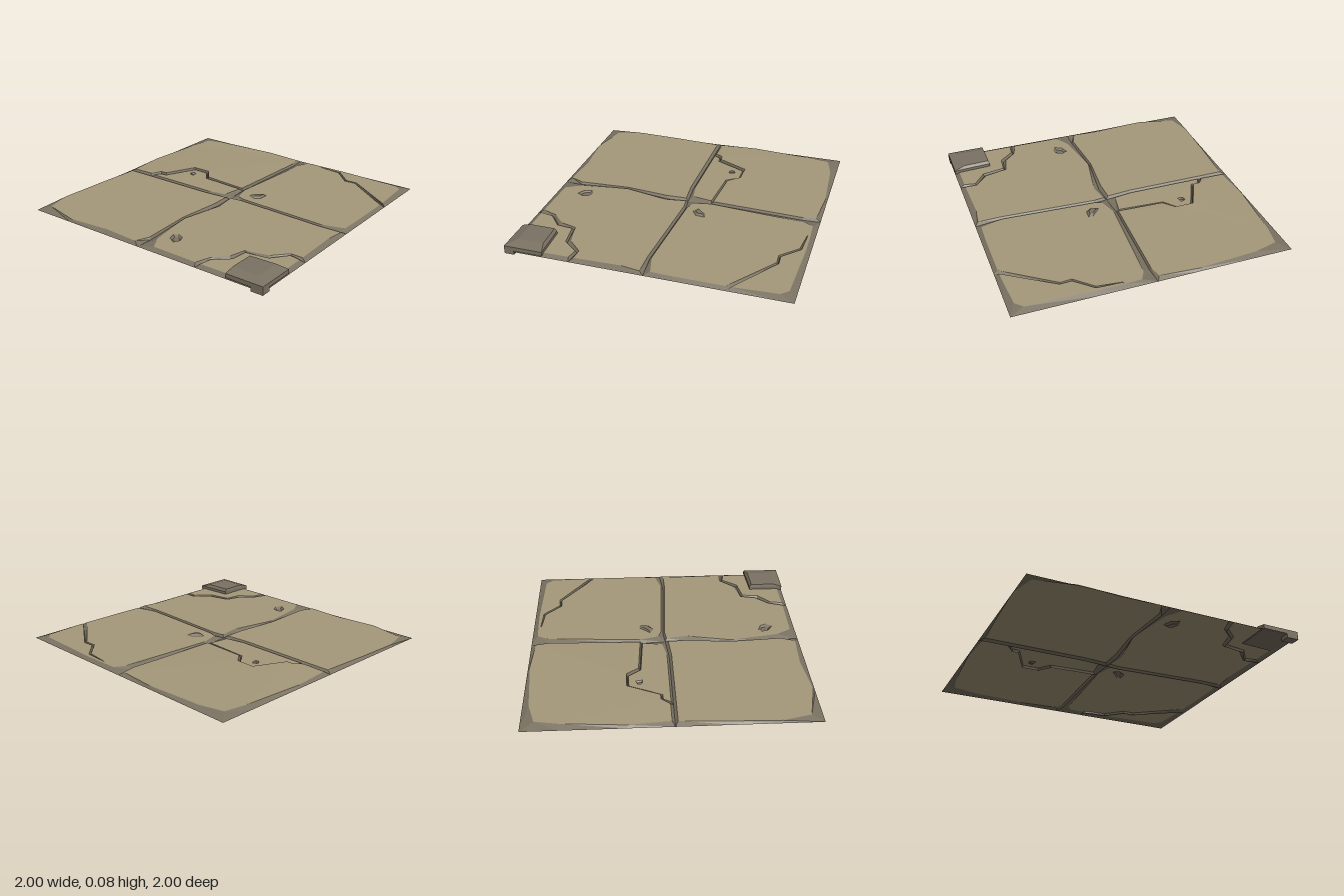
import * as THREE from 'three';

const TOP = 0.038, LOW = 0.021;

const sand = new THREE.MeshStandardMaterial({ color: 0xa5987a, side: THREE.DoubleSide });
sand.name = 'sandstone';
const grey = new THREE.MeshStandardMaterial({ color: 0x7a7262, side: THREE.DoubleSide });
grey.name = 'greyStone';

// Flat-shaded mesh from triangles, each turned to face up
function mesh(name, tris, material) {
  const pos = [];
  for (const [a, b, c] of tris) {
    const ny = (b[2] - a[2]) * (c[0] - a[0]) - (b[0] - a[0]) * (c[2] - a[2]);
    pos.push(...a, ...(ny < 0 ? [...c, ...b] : [...b, ...c]));
  }
  const g = new THREE.BufferGeometry();
  g.setAttribute('position', new THREE.Float32BufferAttribute(pos, 3));
  g.computeVertexNormals();
  const m = new THREE.Mesh(g, material);
  m.name = name;
  return m;
}

// Strip joining two closed rings of points
function band(a, b) {
  return a.flatMap((p, i) => {
    const j = (i + 1) % a.length;
    return [[p, a[j], b[j]], [p, b[j], b[i]]];
  });
}

// Filled ring, with optional holes
function cap(ring, holes = []) {
  const flat = (r) => r.map((p) => new THREE.Vector2(p[0], p[2]));
  const all = [ring, ...holes].flat();
  return THREE.ShapeUtils.triangulateShape(flat(ring), holes.map(flat))
    .map((f) => f.map((i) => all[i]));
}

const ringAt = (pts, y) => pts.map(([x, z]) => [x, y, z]);

// Paving piece: points are [groove x, groove z, top x, top z, top height]
function slab(name, pts, chips = []) {
  const g = new THREE.Group();
  g.name = name;
  const outer = pts.map((p) => [p[0], LOW, p[1]]);
  const inner = pts.map((p) => [p[2], p[4] ?? TOP, p[3]]);
  const rims = chips.map((c) => ringAt(c.pts, TOP));
  g.add(mesh(name + 'Top', cap(inner, rims), sand));
  g.add(mesh(name + 'Bevel', band(outer, inner), grey));
  // Small chips: sunken or raised
  chips.forEach((c, i) => {
    const cx = c.pts.reduce((s, p) => s + p[0], 0) / c.pts.length;
    const cz = c.pts.reduce((s, p) => s + p[1], 0) / c.pts.length;
    const core = ringAt(c.pts.map(([x, z]) => [cx + (x - cx) * 0.6, cz + (z - cz) * 0.6]), c.y);
    g.add(mesh(name + 'Chip', [...band(rims[i], core), ...cap(core)], grey));
  });
  return g;
}

export function createModel() {
  const model = new THREE.Group();
  model.name = 'crackedPaving';

  model.add(slab('backRightSlab', [
    [-1, -1, -0.92, -0.94], [-0.72, -1, -0.72, -0.99], [-0.4, -1, -0.4, -0.98],
    [-0.015, -1, -0.035, -0.96], [-0.015, -0.78, -0.035, -0.78], [-0.018, -0.2, -0.036, -0.2],
    [0, 0, -0.02, -0.02], [-0.15, 0.008, -0.17, -0.015], [-0.49, -0.036, -0.49, -0.045],
    [-0.87, -0.008, -0.87, -0.02], [-1, -0.01, -0.97, -0.06], [-1, -0.34, -0.955, -0.34],
    [-1, -0.66, -0.985, -0.66],
  ]));

  // Back left quarter, split by a thin crack
  model.add(slab('backLeftSlab', [
    [-0.015, -1, 0.005, -0.96], [0.3, -1, 0.3, -0.985], [0.75, -1, 0.75, -0.95],
    [1, -1, 0.91, -0.92], [1, -0.75, 0.955, -0.75], [1, -0.3, 0.985, -0.3],
    [1, 0, 0.965, -0.02], [0.87, 0.01, 0.87, 0], [0.18, -0.015, 0.19, -0.024, 0.04],
    [0.2, -0.37, 0.21, -0.365, 0.045], [0.29, -0.44, 0.297, -0.435, 0.05],
    [0.29, -0.57, 0.297, -0.576, 0.05], [0.06, -0.68, 0.068, -0.686, 0.05],
    [0.06, -0.73, 0.066, -0.738, 0.05], [-0.015, -0.77, 0.005, -0.782, 0.042],
  ]));
  model.add(slab('backLeftPiece', [
    [-0.015, -0.77, 0, -0.755], [0.06, -0.73, 0.05, -0.724], [0.06, -0.68, 0.052, -0.674],
    [0.29, -0.57, 0.282, -0.564], [0.29, -0.44, 0.282, -0.446], [0.2, -0.37, 0.193, -0.377],
    [0.18, -0.015, 0.172, -0.035], [0, 0, 0.025, -0.06], [-0.018, -0.2, -0.002, -0.2],
  ], [{ y: 0.026, pts: [[0.2, -0.545], [0.22, -0.545], [0.235, -0.51], [0.185, -0.5], [0.185, -0.53]] }]));

  // Front right quarter, with its broken corner
  model.add(slab('frontRightSlab', [
    [-1, -0.01, -0.96, 0.1], [-0.87, -0.008, -0.85, 0.035], [-0.49, -0.036, -0.49, -0.024],
    [-0.15, 0.008, -0.155, 0.045], [0, 0, -0.01, 0.02], [0.013, 0.1, 0, 0.1],
    [-0.02, 0.8, -0.034, 0.8], [0, 1, -0.03, 0.975], [-0.17, 1, -0.17, 0.955],
    [-0.53, 1, -0.505, 0.965], [-0.515, 0.88, -0.503, 0.875], [-0.63, 0.79, -0.605, 0.78],
    [-0.655, 0.62, -0.645, 0.61], [-0.78, 0.6, -0.765, 0.58], [-0.865, 0.502, -0.855, 0.492],
    [-1, 0.475, -0.965, 0.455],
  ], [{ y: 0.026, pts: [[-0.8, 0.1], [-0.74, 0.08], [-0.72, 0.11], [-0.74, 0.16], [-0.785, 0.18], [-0.83, 0.155]] }]));
  model.add(slab('brokenCorner', [
    [-1, 0.475, -0.965, 0.495], [-0.865, 0.502, -0.875, 0.51], [-0.78, 0.6, -0.785, 0.615],
    [-0.655, 0.62, -0.665, 0.628], [-0.63, 0.79, -0.638, 0.795], [-0.515, 0.88, -0.525, 0.885],
    [-0.53, 1, -0.54, 0.965], [-1, 1, -0.96, 0.97],
  ]));

  // Front left quarter, with a crack that fades out near the side
  model.add(slab('frontLeftSlab', [
    [0, 0, 0.05, 0.05], [0.18, -0.015, 0.19, 0.01], [0.87, 0.01, 0.89, 0.06],
    [1, 0, 0.96, 0.1], [1, 0.22, 0.965, 0.22], [0.945, 0.22, 0.943, 0.23],
    [0.93, 0.41, 0.923, 0.407], [0.81, 0.535, 0.802, 0.532], [0.815, 0.62, 0.807, 0.617],
    [0.565, 1, 0.55, 0.97], [0.2, 1, 0.2, 0.97], [0, 1, 0.04, 0.965],
    [-0.02, 0.8, -0.005, 0.8], [0.013, 0.1, 0.028, 0.11],
  ], [{ y: 0.05, pts: [[0.11, 0.1], [0.14, 0.13], [0.185, 0.17], [0.19, 0.205], [0.12, 0.2], [0.085, 0.15]] }]));
  model.add(slab('frontLeftPiece', [
    [0.945, 0.22, 0.947, 0.23], [1, 0.22, 0.965, 0.22], [1, 0.4, 0.968, 0.4],
    [1, 1, 0.95, 0.9], [0.9, 1, 0.9, 0.95], [0.565, 1, 0.585, 0.97],
    [0.815, 0.62, 0.823, 0.623], [0.81, 0.535, 0.818, 0.538], [0.93, 0.41, 0.937, 0.413],
  ]));

  // Raised corner block with a sloping top
  const foot = [[-1, 0.72], [-0.735, 0.72], [-0.72, 1], [-1, 1]];
  const low = ringAt(foot, 0.03), mid = ringAt(foot, 0.06);
  const crown = ringAt([[-0.93, 0.725], [-0.75, 0.725], [-0.742, 0.92], [-0.93, 0.92]], 0.08);
  model.add(mesh('cornerBlock', [...band(low, mid), ...band(mid, crown), ...cap(crown), ...cap(low)], grey));

  // Short leg below the block
  const leg = new THREE.Mesh(new THREE.BoxGeometry(0.07, 0.059, 0.09), grey);
  leg.position.set(-0.965, 0.0295, 0.955);
  leg.name = 'cornerLeg';
  model.add(leg);

  return model;
}
